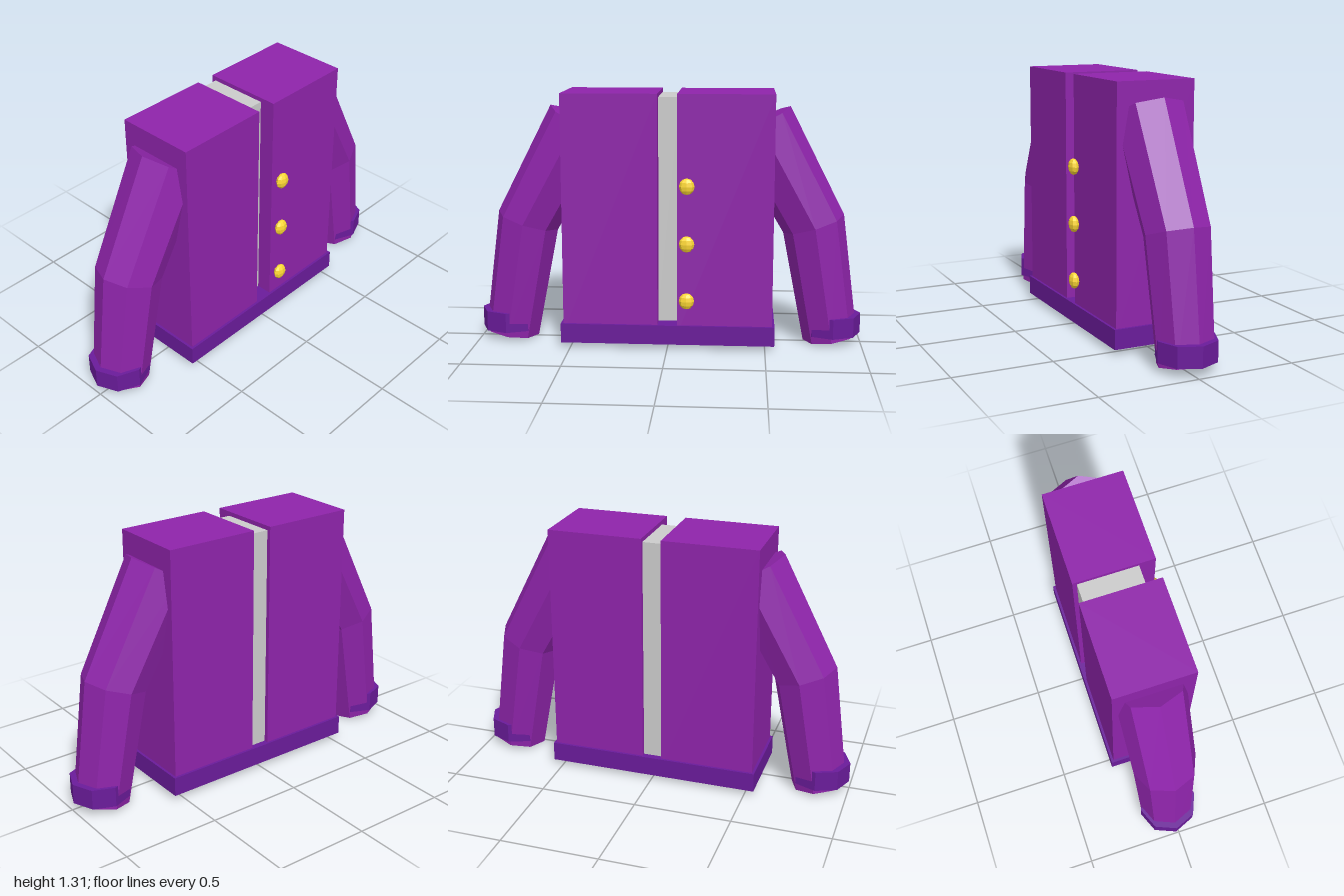
import * as THREE from 'three';

const material = (color) => new THREE.MeshStandardMaterial({ color, flatShading: true });
const cloth = material(0x8e24aa);
const trim = material(0x6a1b9a);
const gold = material(0xfdd835);
const grey = material(0xcccccc);

const MID_Z = -0.018;

function add(parent, name, geometry, mat, x, y, z) {
  const mesh = new THREE.Mesh(geometry, mat);
  mesh.name = name;
  mesh.position.set(x, y, z);
  parent.add(mesh);
  return mesh;
}

// Box given by its minimum and maximum corners
function addBox(parent, name, mat, [x0, y0, z0], [x1, y1, z1]) {
  return add(parent, name, new THREE.BoxGeometry(x1 - x0, y1 - y0, z1 - z0), mat,
    (x0 + x1) / 2, (y0 + y1) / 2, (z0 + z1) / 2);
}

// Eight-sided tube bent at the elbow: each ring is tilted across the arm's path
function sleeveGeometry() {
  const rings = [ // from cuff to shoulder: centre x, centre y, radius, tilt
    [0.843, 0.027, 0.141, 0.16],
    [0.745, 0.63, 0.163, 0.31],
    [0.457, 1.154, 0.178, 0.475],
  ];
  const geometry = new THREE.CylinderGeometry(1, 1, 1, 8, 2);
  const pos = geometry.attributes.position;
  for (let i = 0; i < pos.count; i++) {
    const [cx, cy, r, tilt] = rings[Math.round((pos.getY(i) + 0.5) * 2)];
    const across = pos.getX(i) * r;
    pos.setXYZ(i, cx + across * Math.cos(tilt), cy + across * Math.sin(tilt), pos.getZ(i) * r);
  }
  geometry.computeVertexNormals();
  return geometry;
}

export function createModel() {
  const jacket = new THREE.Group();
  jacket.name = 'jacket';

  // Torso: two panels, the strip between them and the hem
  addBox(jacket, 'leftPanel', cloth, [0.05, 0.08, -0.222], [0.535, 1.31, 0.187]);
  addBox(jacket, 'rightPanel', cloth, [-0.535, 0.08, -0.222], [-0.05, 1.31, 0.187]);
  addBox(jacket, 'centreStrip', grey, [-0.06, 0.08, -0.2], [0.06, 1.288, 0.105]);
  addBox(jacket, 'hem', trim, [-0.548, 0.03, -0.235], [0.548, 0.13, 0.2]);

  // Buttons: flattened low-poly balls
  const buttonGeometry = new THREE.SphereGeometry(0.042, 8, 6);
  buttonGeometry.scale(0.93, 1, 0.58);
  for (const y of [0.265, 0.56, 0.853]) {
    add(jacket, 'button', buttonGeometry, gold, 0.1, y, 0.213);
  }

  // Sleeves with cuffs, the second one turned half way round
  const sleeve = sleeveGeometry();
  const cuff = new THREE.CylinderGeometry(0.151, 0.151, 0.104, 8);
  for (const side of ['left', 'right']) {
    const arm = new THREE.Group();
    arm.name = side + 'Arm';
    arm.position.z = MID_Z;
    arm.rotation.y = side === 'left' ? 0 : Math.PI;
    add(arm, side + 'Sleeve', sleeve, cloth, 0, 0, 0);
    add(arm, side + 'Cuff', cuff, trim, 0.849, 0.104, 0);
    jacket.add(arm);
  }
  return jacket;
}
